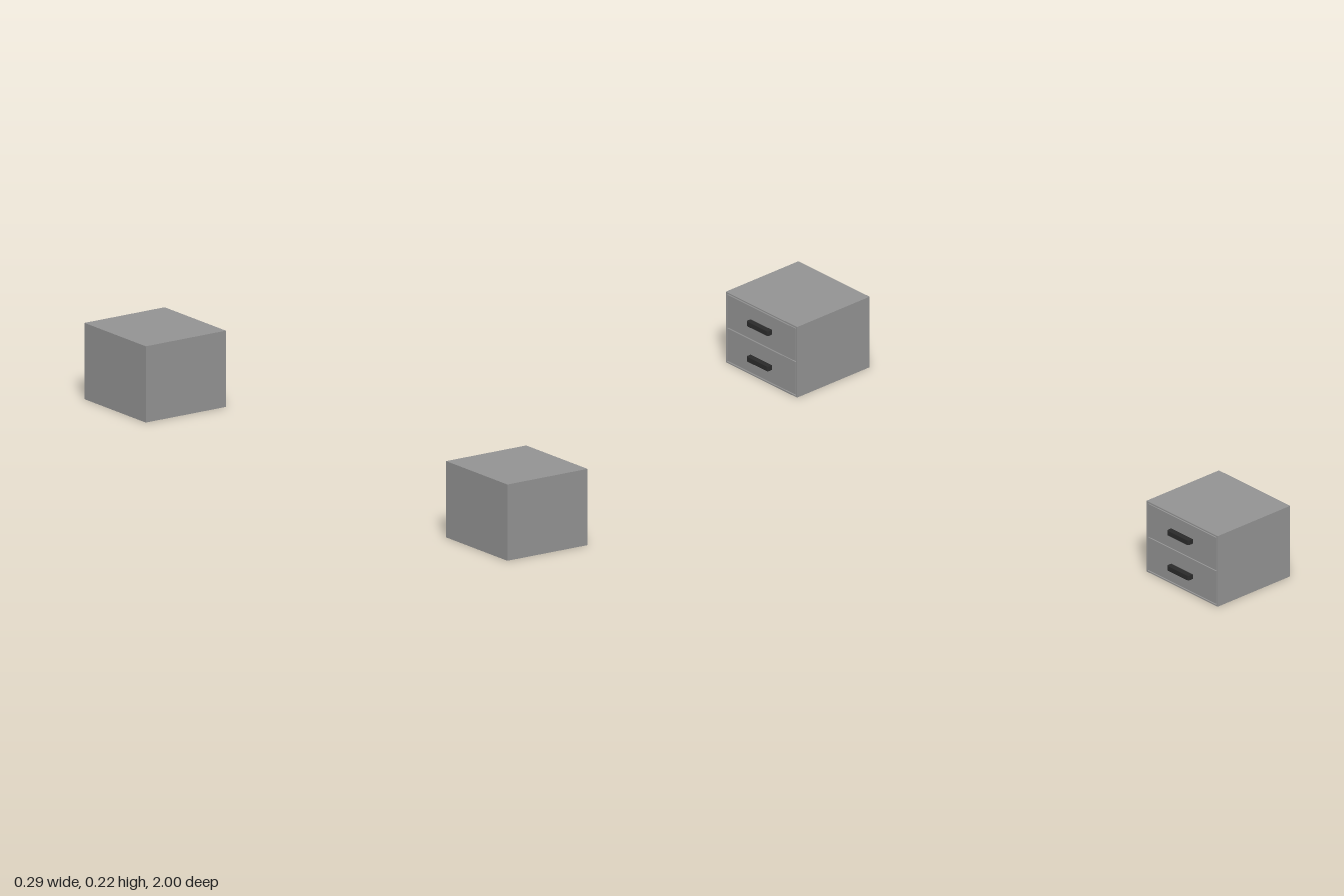
import * as THREE from 'three';

const grey = new THREE.MeshStandardMaterial({ color: 0x929292 });
grey.name = 'cabinet grey';
const dark = new THREE.MeshStandardMaterial({ color: 0x2a2a2a });
dark.name = 'handle charcoal';

const BACK = -0.144, FRONT = 0.127, HEIGHT = 0.218, WIDTH = 0.29;
const WALL = 0.004, GAP = 0.003, RECESS = 0.012;

// Box given by its minimum and maximum corners
function box(name, material, [x0, y0, z0], [x1, y1, z1]) {
  const mesh = new THREE.Mesh(new THREE.BoxGeometry(x1 - x0, y1 - y0, z1 - z0), material);
  mesh.position.set((x0 + x1) / 2, (y0 + y1) / 2, (z0 + z1) / 2);
  mesh.name = name;
  return mesh;
}

// Pull with softened outer corners, projecting towards +x
function handleGeometry(length, depth, height) {
  const h = length / 2, r = 0.006;
  const s = new THREE.Shape();
  s.moveTo(0, -h);
  s.lineTo(depth - r, -h);
  s.quadraticCurveTo(depth, -h, depth, -h + r);
  s.lineTo(depth, h - r);
  s.quadraticCurveTo(depth, h, depth - r, h);
  s.lineTo(0, h);
  s.closePath();
  const g = new THREE.ExtrudeGeometry(s, { depth: height, bevelEnabled: false, curveSegments: 4 });
  g.translate(0, 0, -height / 2);
  g.rotateX(-Math.PI / 2);
  return g;
}

function createCabinet() {
  const cabinet = new THREE.Group();
  const h = WIDTH / 2, inner = h - WALL, lip = FRONT - RECESS;

  // Carcass: solid core with a thin rim framing the drawers
  cabinet.add(
    box('carcass', grey, [BACK, 0, -h], [lip, HEIGHT, h]),
    box('topRim', grey, [lip, HEIGHT - WALL, -h], [FRONT, HEIGHT, h]),
    box('bottomRim', grey, [lip, 0, -h], [FRONT, WALL, h]),
    box('sideRim', grey, [lip, WALL, -h], [FRONT, HEIGHT - WALL, -inner]),
    box('sideRim', grey, [lip, WALL, inner], [FRONT, HEIGHT - WALL, h])
  );

  // Two flush drawers, each with a pull
  const pull = handleGeometry(0.088, 0.017, 0.014);
  const mid = HEIGHT / 2;
  const rows = [
    [WALL + GAP, mid - GAP / 2, 0.055],
    [mid + GAP / 2, HEIGHT - WALL - GAP, 0.164],
  ];
  for (const [y0, y1, handleY] of rows) {
    const drawer = new THREE.Group();
    drawer.name = 'drawer';
    drawer.add(box('drawerFront', grey, [lip, y0, -inner + GAP], [FRONT, y1, inner - GAP]));
    const handle = new THREE.Mesh(pull, dark);
    handle.name = 'drawerHandle';
    handle.position.set(FRONT, handleY, 0);
    drawer.add(handle);
    cabinet.add(drawer);
  }
  return cabinet;
}

export function createModel() {
  const model = new THREE.Group();
  model.name = 'bedsideCabinets';
  // Matching pair, one at each end
  for (const side of [-1, 1]) {
    const cabinet = createCabinet();
    cabinet.name = side > 0 ? 'frontCabinet' : 'backCabinet';
    cabinet.position.z = side * (1 - WIDTH / 2);
    model.add(cabinet);
  }
  return model;
}
